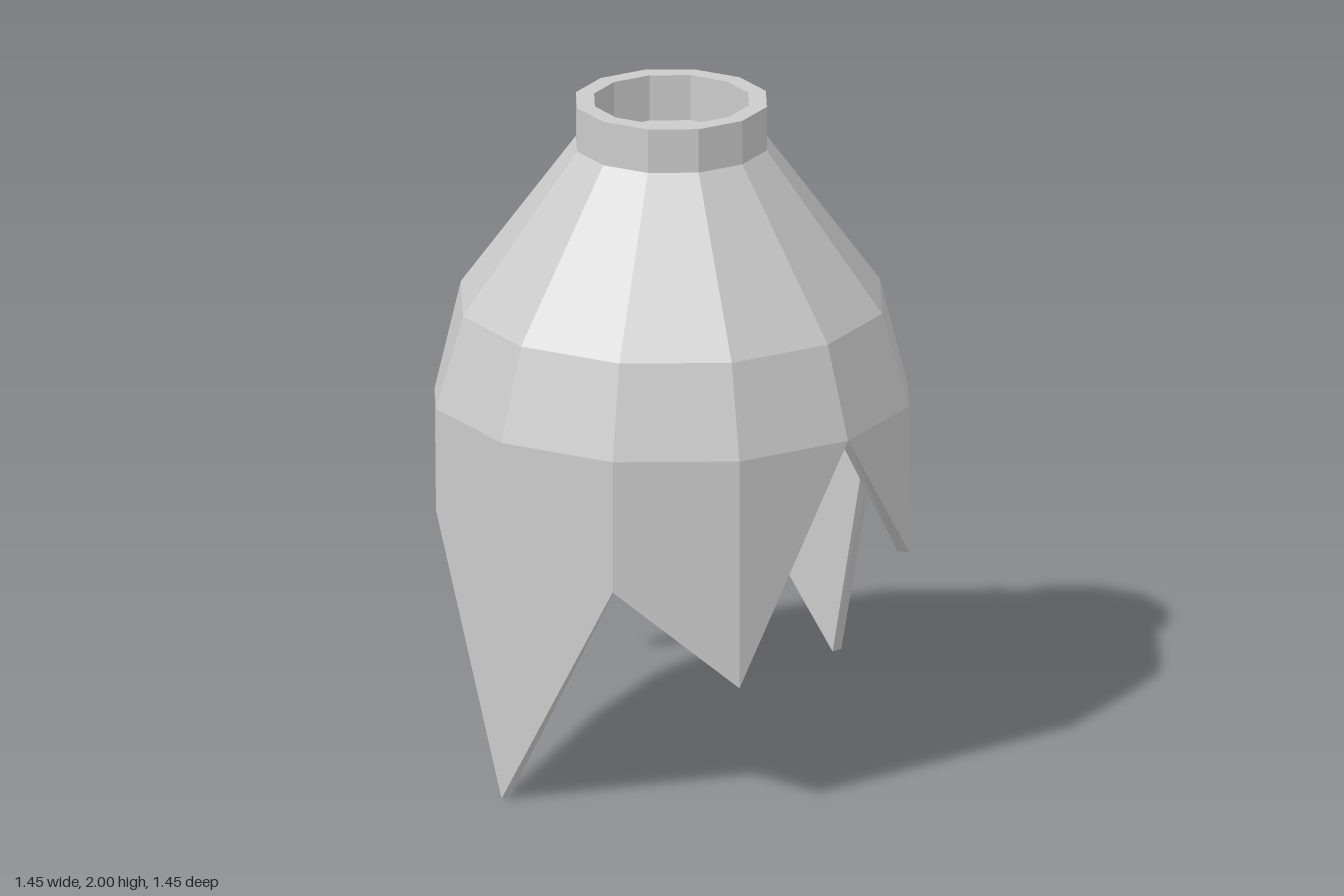
import * as THREE from 'three';

const SIDES = 12;
const BELT = 1.105, SHOULDER = 1.385; // heights of the two widest rings

// Torn lower edge: [position around in twelfths, height]; 0 is the front, 3 is +x
const EDGE = [
  [0, 0], [1, 0.7], [2, 0.4], [3, BELT], [4, 0.65], [4.5, BELT], [5, SHOULDER], [5.25, BELT],
  [6, 0.12], [7, 0.64], [7.35, BELT], [7.55, SHOULDER], [8, BELT], [9, 0.75], [9.5, BELT],
  [10, SHOULDER], [10.46, BELT], [11, 0.79], [12, 0],
];

// Point on a twelve-sided ring; u between corners lies on the straight side
function ringPoint(u, r, y) {
  const k = Math.floor(u), f = u - k, step = (Math.PI * 2) / SIDES;
  const mix = (fn) => r * (fn(k * step) * (1 - f) + fn((k + 1) * step) * f);
  return new THREE.Vector3(mix(Math.sin), y, mix(Math.cos));
}

// Sweeps profile(bottom) = [[radius, height], ...] round the columns
function sweep(name, columns, profile, material) {
  const loops = columns.map(([u, b]) => profile(b).map(([r, y]) => ringPoint(u, r, y)));
  const pos = [];
  const tri = (a, b, c) => {
    if (new THREE.Triangle(a, b, c).getArea() > 1e-6) for (const p of [a, b, c]) pos.push(p.x, p.y, p.z);
  };
  for (let i = 0; i < loops.length - 1; i++) {
    const A = loops[i], B = loops[i + 1];
    for (let j = 0; j < A.length - 1; j++) {
      tri(A[j], A[j + 1], B[j + 1]);
      tri(A[j], B[j + 1], B[j]);
    }
  }
  const geo = new THREE.BufferGeometry();
  geo.setAttribute('position', new THREE.Float32BufferAttribute(pos, 3));
  geo.computeVertexNormals();
  const mesh = new THREE.Mesh(geo, material);
  mesh.name = name;
  return mesh;
}

export function createModel() {
  const group = new THREE.Group();
  group.name = 'tornBell';
  const material = new THREE.MeshStandardMaterial({ color: 0xcccccc, flatShading: true });

  // Neck: recessed floor, inner wall, flat rim and outer wall
  const corners = Array.from({ length: SIDES + 1 }, (_, i) => [i, 0]);
  group.add(sweep('neckCollar', corners, () => [
    [0, 1.86], [0.235, 1.86], [0.235, 2], [0.29, 2], [0.29, 1.865],
  ], material));

  // Bell: outer skin, thickness of the torn edge, inner skin and ceiling
  group.add(sweep('tornShell', EDGE, (b) => {
    const high = b > BELT;
    const mid = Math.max(b, BELT);
    const outer = high ? 0.64 : 0.723, inner = high ? 0.605 : 0.686;
    return [
      [0.29, 1.865], [0.64, SHOULDER], [outer, mid], [outer, b],
      [inner, b], [inner, mid], [0.605, SHOULDER], [0.26, 1.83], [0, 1.83],
    ];
  }, material));

  return group;
}
